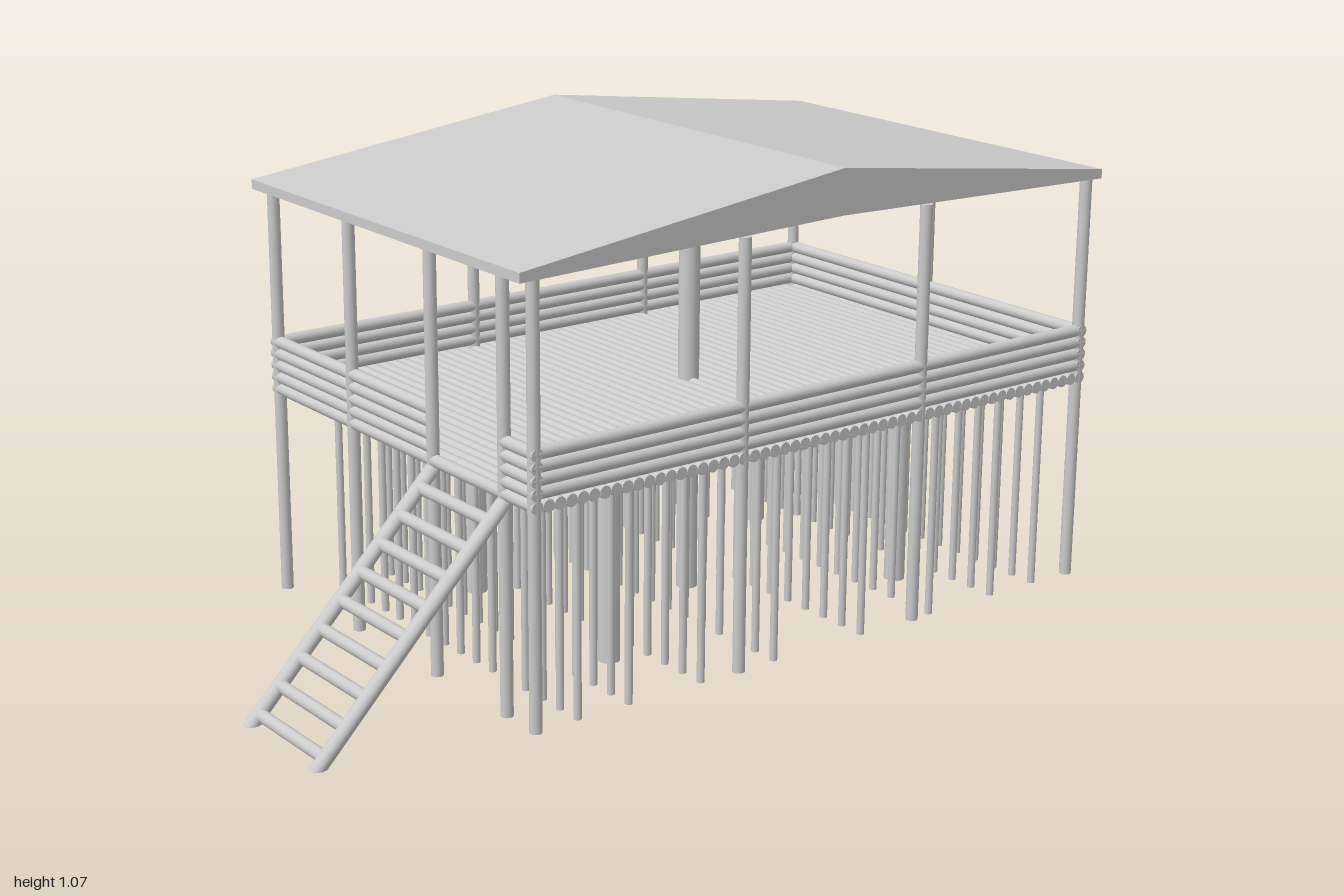
import * as THREE from 'three';

export function createModel() {
  const model = new THREE.Group();
  const mat = new THREE.MeshStandardMaterial({ color: 0xcccccc });

  const group = (name, parent = model) => {
    const g = new THREE.Group();
    g.name = name;
    parent.add(g);
    return g;
  };

  // Round log between two points
  const log = (parent, name, a, b, r, sides = 14) => {
    const from = new THREE.Vector3(...a), to = new THREE.Vector3(...b);
    const dir = to.clone().sub(from);
    const mesh = new THREE.Mesh(new THREE.CylinderGeometry(r, r, dir.length(), sides), mat);
    mesh.position.copy(from).add(to).multiplyScalar(0.5);
    mesh.quaternion.setFromUnitVectors(new THREE.Vector3(0, 1, 0), dir.normalize());
    mesh.name = name;
    parent.add(mesh);
    return mesh;
  };

  const R = 0.0137;                 // common log radius
  const sideX = 0.497, frontZ = 0.535, backZ = -0.97, midZ = -0.235;
  const floorY = 0.493, gate = [0.135, 0.395];

  // Gabled roof: side profile (z, y) extruded along x
  const profile = new THREE.Shape([
    [0.577, 0.952], [0.577, 0.973], [midZ, 1.072], [-1, 0.973], [-1, 0.952], [midZ, 0.972],
  ].map(([z, y]) => new THREE.Vector2(-z, y)));
  const roofGeo = new THREE.ExtrudeGeometry(profile, { depth: 1.03, bevelEnabled: false });
  roofGeo.rotateY(Math.PI / 2).translate(-0.515, 0, 0);
  const roof = new THREE.Mesh(roofGeo, mat);
  roof.name = 'roof';
  model.add(roof);

  // Outer posts from the ground to the roof
  const posts = group('outerPosts');
  const spots = [[-0.18, frontZ], [gate[0], frontZ], [gate[1], frontZ], [0, backZ]];
  for (const x of [-sideX, sideX])
    for (const z of [frontZ, 0.012, -0.485, backZ]) spots.push([x, z]);
  for (const [x, z] of spots) log(posts, 'outerPost', [x, 0.015, z], [x, 0.96, z], R);

  // Floor of logs laid side by side across the deck
  const floor = group('floor');
  const count = 56;
  for (let i = 0; i < count; i++) {
    const z = frontZ + (backZ - frontZ) * i / (count - 1);
    log(floor, 'floorLog', [-0.51, floorY, z], [0.51, floorY, z], R, 12);
  }

  // Four rows of railing logs, open at the ladder
  const railing = group('railing');
  for (let row = 1; row <= 4; row++) {
    const y = floorY + row * 0.0272;
    log(railing, 'frontRail', [-0.51, y, frontZ], [gate[0], y, frontZ], R);
    log(railing, 'frontRail', [gate[1], y, frontZ], [0.51, y, frontZ], R);
    log(railing, 'backRail', [-0.51, y, backZ], [0.51, y, backZ], R);
    for (const x of [-sideX, sideX])
      log(railing, 'sideRail', [x, y, frontZ + 0.01], [x, y, backZ - 0.012], R);
  }

  // Thick pillars: the centre one carries the ridge
  const pillars = group('pillars');
  log(pillars, 'centrePillar', [0.005, 0, midZ], [0.005, 0.99, midZ], 0.024, 20);
  for (const x of [-0.256, 0.255])
    for (const z of [0.174, -0.655]) log(pillars, 'pillar', [x, 0, z], [x, floorY, z], 0.024, 20);

  // Grid of thin stilts below the floor
  const stilts = group('stilts');
  for (const z of [0.41, 0.28, 0.09, -0.11, -0.36, -0.565, -0.757, -0.89])
    for (let i = 0; i < 16; i++) {
      const x = -0.459 + i * 0.0617;
      log(stilts, 'stilt', [x, 0, z], [x, floorY, z], 0.0085, 10);
    }

  // Ladder: slanted rails with level ends, and nine rungs
  const ladder = group('ladder');
  const bottomY = 0.02, topY = 0.495;
  const ladderZ = (y) => 0.978 - 0.97 * (y - bottomY);
  for (const x of gate) {
    const geo = new THREE.CylinderGeometry(0.0175, 0.0175, topY - bottomY, 16);
    geo.scale(1, 1, 1.22).translate(x, (topY + bottomY) / 2, 0);
    const p = geo.attributes.position;
    for (let i = 0; i < p.count; i++) p.setZ(i, p.getZ(i) + ladderZ(p.getY(i)));
    geo.computeVertexNormals();
    const rail = new THREE.Mesh(geo, mat);
    rail.name = 'ladderRail';
    ladder.add(rail);
  }
  for (let i = 0; i < 9; i++) {
    const y = 0.038 + i * 0.0503;
    log(ladder, 'rung', [gate[0] + 0.005, y, ladderZ(y)], [gate[1] - 0.005, y, ladderZ(y)], R);
  }

  return model;
}
